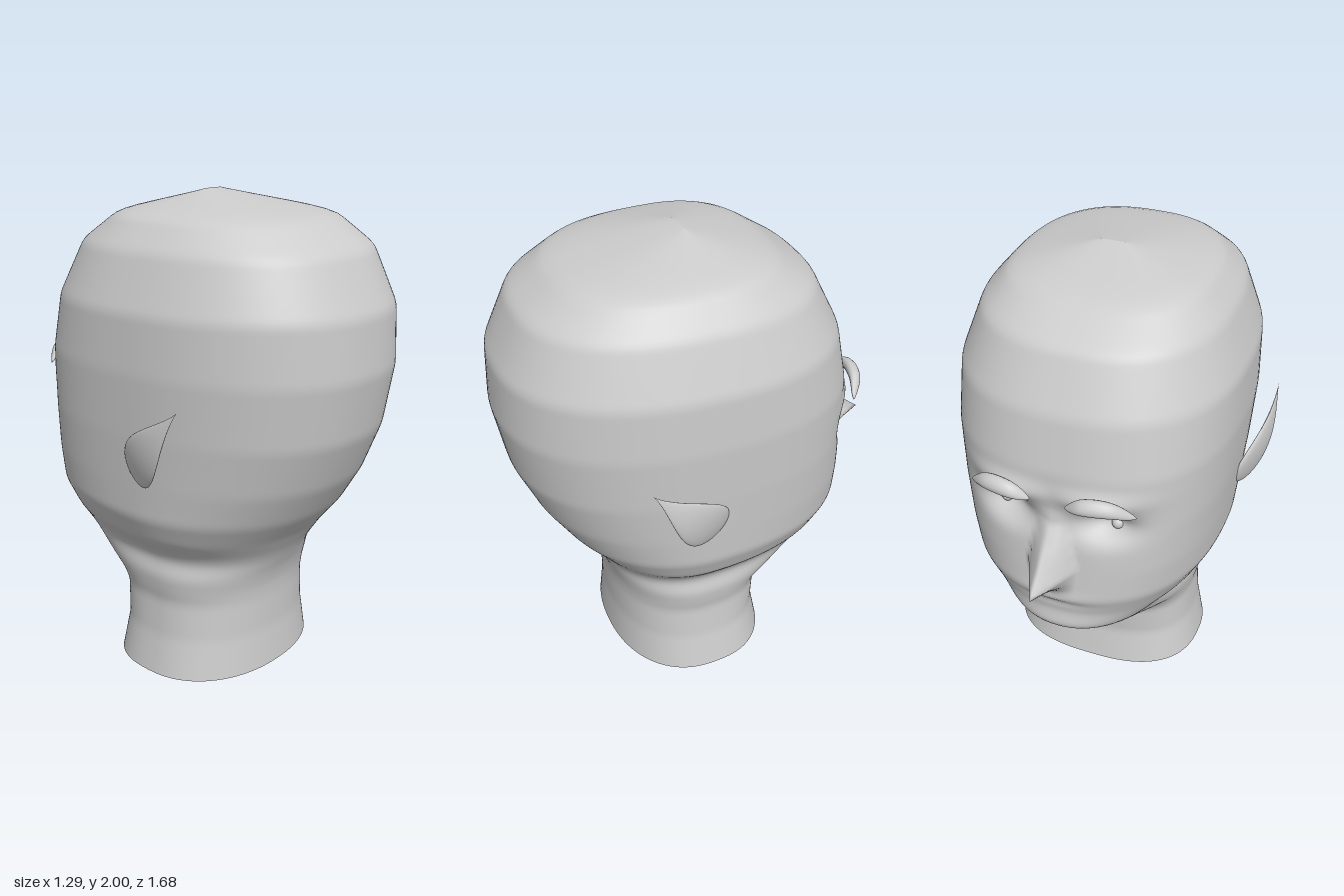
import * as THREE from 'three';

// Head sections: y, half width, front z, back z, squareness of front and back
const SECTIONS = [
  [0, 0.445, -0.26, 0.435, 2.6, 2.2], [0.17, 0.412, -0.23, 0.42, 2.6, 2.2],
  [0.33, 0.4, -0.245, 0.42, 2.6, 2.2], [0.39, 0.412, -0.3, 0.425, 2.4, 2.2],
  [0.45, 0.42, -0.45, 0.44, 2.1, 2.2], [0.52, 0.405, -0.585, 0.47, 2.1, 2.1],
  [0.56, 0.42, -0.622, 0.49, 2.15, 2.1], [0.64, 0.49, -0.608, 0.54, 2.25, 2.1],
  [0.75, 0.538, -0.632, 0.63, 2.4, 2.1], [0.9, 0.55, -0.62, 0.72, 2.6, 2.15],
  [1.1, 0.565, -0.605, 0.8, 2.7, 2.2], [1.35, 0.578, -0.605, 0.84, 2.6, 2.25],
  [1.58, 0.57, -0.56, 0.825, 2.5, 2.3], [1.8, 0.49, -0.45, 0.72, 2.5, 2.4],
  [1.92, 0.385, -0.27, 0.55, 2.6, 2.5], [2, 0.05, 0.05, 0.05, 2.6, 2.5],
];
// Nose ridge: y, projection, half width
const NOSE = [[0.76, 0, 0.08], [0.79, 0.02, 0.09], [0.83, 0.075, 0.1], [0.905, 0.22, 0.105],
  [0.96, 0.155, 0.095], [1.05, 0.07, 0.075], [1.12, 0.015, 0.06], [1.18, 0, 0.05]];

const lerpTable = (table, y) => {
  let k = 0;
  while (k < table.length - 2 && y > table[k + 1][0]) k++;
  const [a, b] = [table[k], table[k + 1]];
  const t = THREE.MathUtils.clamp((y - a[0]) / (b[0] - a[0]), 0, 1);
  return a.map((v, i) => v + (b[i] - v) * t);
};

// Slightly rounded section at height y
const section = (y) => {
  const d = Math.max(0, Math.min(0.016, y, 2 - y));
  const s = [-d, 0, d].map((o) => lerpTable(SECTIONS, y + o));
  return s[0].map((v, i) => (v + s[1][i] + s[2][i]) / 3);
};

const bump = (x, y, cx, cy, sx, sy) => Math.exp(-(((x - cx) / sx) ** 2) - ((y - cy) / sy) ** 2);

// How far the face stands out (+) or sinks in (-)
const faceRelief = (x, y) => {
  const ax = Math.abs(x);
  const [, h, w] = lerpTable(NOSE, y);
  return h * Math.max(0, 1 - ax / w)
    - 0.08 * bump(ax, y, 0.2, 1.12, 0.11, 0.065)
    + 0.03 * bump(ax, y, 0.18, 1.25, 0.15, 0.045)
    + 0.008 * bump(ax, y, 0, 0.74, 0.14, 0.03)
    - 0.007 * bump(ax, y, 0, 0.7, 0.14, 0.018);
};

// Angle runs from the face (0) around the head
const headPoint = (angle, y) => {
  const [, w, front, back, nFront, nBack] = section(y);
  const c = 0.09 - 0.04 * THREE.MathUtils.smoothstep(y, 1.8, 2);
  const [s, k] = [Math.sin(angle), Math.cos(angle)];
  const curve = (v) => Math.sign(v) * Math.abs(v) ** (2 / (k > 0 ? nFront : nBack));
  const x = w * curve(s);
  let z = c - curve(k) * (k > 0 ? c - front : back - c);
  if (k > 0) z -= faceRelief(x, y) * Math.min(1, k * 2.5);
  return [x, y, z];
};

// Surface from closed loops: fn(u, v), u around, v along
const loft = (cols, rows, fn) => {
  const pos = [], index = [];
  for (let j = 0; j <= rows; j++) {
    for (let i = 0; i < cols; i++) {
      pos.push(...fn(i / cols, j / rows));
      if (j === rows) continue;
      const a = j * cols + i, b = j * cols + ((i + 1) % cols);
      index.push(a, a + cols, b + cols, a, b + cols, b);
    }
  }
  const g = new THREE.BufferGeometry();
  g.setAttribute('position', new THREE.Float32BufferAttribute(pos, 3));
  g.setIndex(index);
  g.computeVertexNormals();
  return g;
};

export function createModel() {
  const model = new THREE.Group();
  const grey = new THREE.MeshStandardMaterial({ color: 0xcccccc, side: THREE.DoubleSide });
  grey.name = 'plain grey';
  const add = (name, geometry) => {
    const mesh = new THREE.Mesh(geometry, grey);
    mesh.name = name;
    model.add(mesh);
    return mesh;
  };

  // Head and open neck, with columns packed closer on the face
  add('head', loft(160, 150, (u, v) => {
    const a = (u < 0.5 ? u : u - 1) * Math.PI * 2;
    return headPoint(a - 0.5 * Math.sin(a), v * 2);
  }));

  for (const side of [1, -1]) {
    const label = side > 0 ? 'left' : 'right';

    // Pointed ear: flattened teardrop leaning back and bowed outwards
    add(label + 'Ear', loft(28, 32, (u, v) => {
      const a = u * Math.PI * 2;
      const t = (1 - Math.cos(v * Math.PI)) / 2;
      const r = 3.08 * Math.sqrt(t) * (1 - t) ** 1.5;
      const across = Math.cos(a) * 0.1 * r;
      const z = 0.11 + 0.31 * t - 0.77 * across;
      const y = 0.935 + 0.34 * t + 0.64 * across;
      const x = 0.55 + 0.08 * t + 0.035 * Math.sin(t * Math.PI) - 0.15 * across + 0.02 * r * Math.sin(a);
      return [side * x, y, z];
    }));

    // Arched eyebrow, tapered at both ends
    const arch = new THREE.CatmullRomCurve3([
      [0.07, 1.245, -0.645], [0.14, 1.28, -0.66], [0.25, 1.28, -0.64], [0.34, 1.23, -0.59],
    ].map((p) => new THREE.Vector3(...p)));
    add(label + 'Eyebrow', loft(14, 24, (u, v) => {
      const a = u * Math.PI * 2;
      const p = arch.getPoint(v);
      const r = Math.sin(Math.PI * v) ** 0.7;
      const [up, out] = [Math.cos(a) * r, Math.sin(a) * r];
      return [side * (p.x + 0.006 * out), p.y + 0.03 * up + 0.008 * out, p.z + 0.015 * up - 0.024 * out];
    }));

    // Small bead eye set in the socket
    const eye = add(label + 'Eye', new THREE.SphereGeometry(0.025, 20, 14));
    let best = [0, 0, 0];
    for (let a = 0; a < 1; a += 0.01) {
      const p = headPoint(a, 1.11);
      if (Math.abs(p[0] - 0.235) < Math.abs(best[0] - 0.235)) best = p;
    }
    eye.position.set(side * best[0], 1.11, best[2] + 0.004);
  }
  return model;
}
